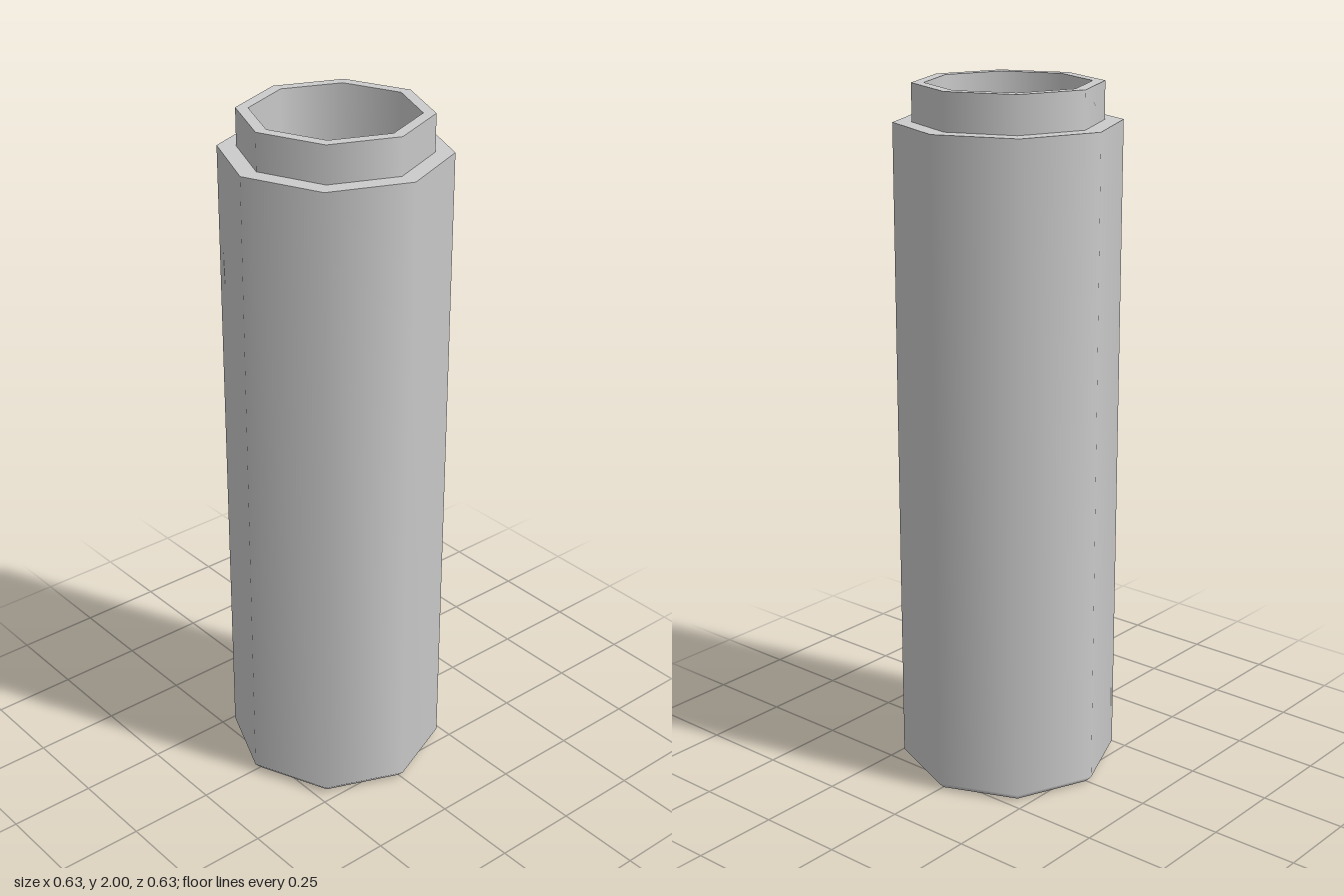
import * as THREE from 'three';

const SIDES = 8;
const BODY_R = 0.314, BASE_R = 0.295, NECK_R = 0.262, BORE_R = 0.228;
const CHAMFER_Y = 0.02, SHOULDER_Y = 1.895, TOP_Y = 2, FLOOR_Y = 0.04;

export function createModel() {
  const group = new THREE.Group();
  group.name = 'canister';
  const material = new THREE.MeshStandardMaterial({ color: 0xcccccc });

  // Eight-sided turned surface; the profile runs up the outside, then down the bore
  const turn = (name, profile) => {
    const points = profile.map(([r, y]) => new THREE.Vector2(r, y));
    const mesh = new THREE.Mesh(new THREE.LatheGeometry(points, SIDES), material);
    mesh.name = name;
    group.add(mesh);
  };

  // Separate surfaces keep the rims crisp while the sides shade smoothly
  turn('base', [[0, 0], [BASE_R, 0]]);
  turn('body', [[BASE_R, 0], [BODY_R, CHAMFER_Y], [BODY_R, SHOULDER_Y]]);
  turn('shoulder', [[BODY_R, SHOULDER_Y], [NECK_R, SHOULDER_Y]]);
  turn('neck', [[NECK_R, SHOULDER_Y], [NECK_R, TOP_Y]]);
  turn('rim', [[NECK_R, TOP_Y], [BORE_R, TOP_Y]]);
  turn('innerWall', [[BORE_R, TOP_Y], [BORE_R, FLOOR_Y]]);
  turn('innerFloor', [[BORE_R, FLOOR_Y], [0, FLOOR_Y]]);

  return group;
}
